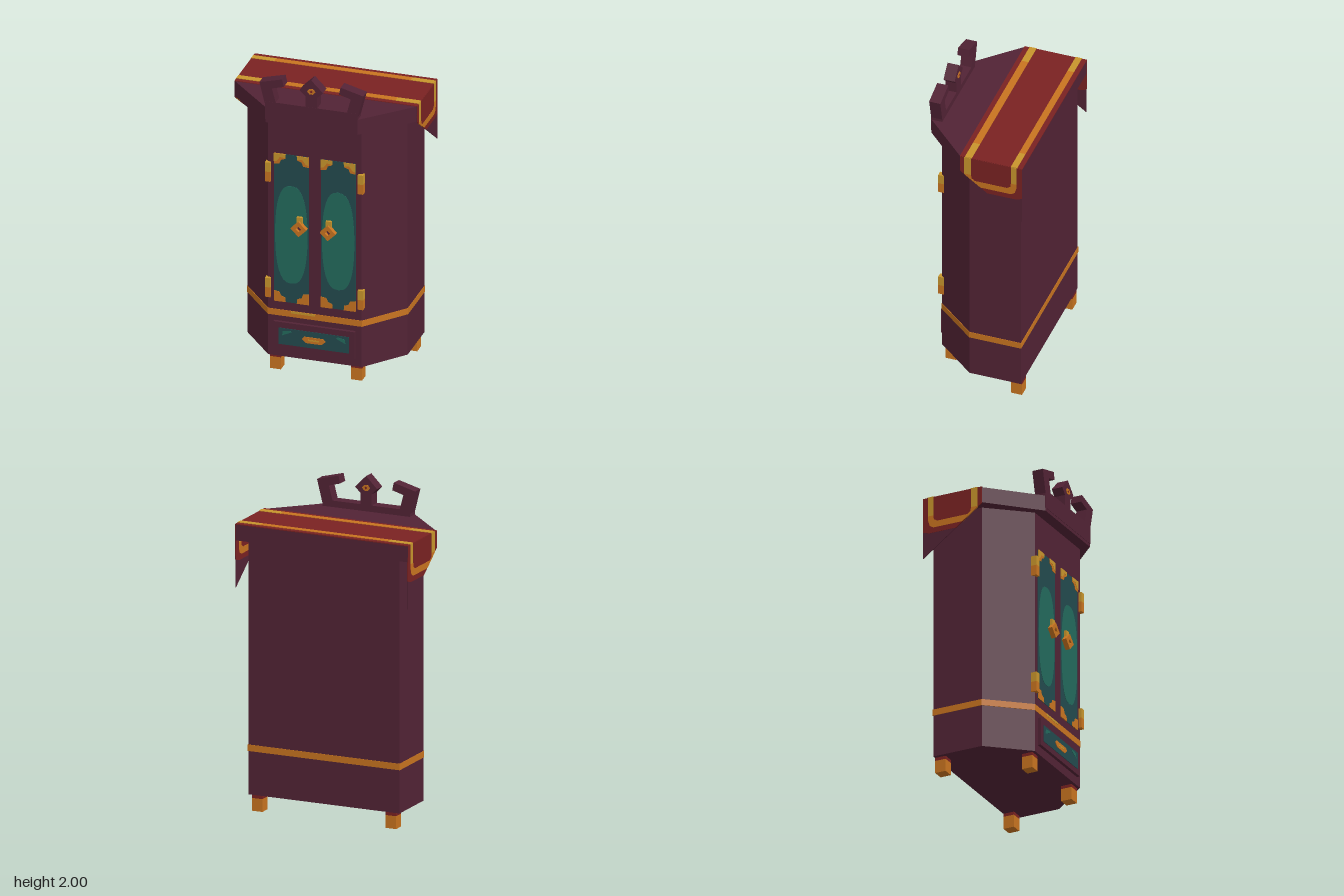
import * as THREE from 'three';

const mat = (name, color, side = THREE.FrontSide) => {
  const m = new THREE.MeshStandardMaterial({ color });
  m.name = name;
  m.side = side;
  return m;
};

export function createModel() {
  const plum = mat('plumWood', 0x522335);
  const red = mat('redCloth', 0x7a2222);
  const orange = mat('orangeTrim', 0xc87420);
  const gold = mat('goldTrim', 0xc8952c);
  const teal = mat('darkTeal', 0x234a4e);
  const green = mat('lightTeal', 0x236a5c);

  const root = new THREE.Group();
  root.name = 'wardrobe';

  const add = (name, geo, material, parent = root) => {
    const m = new THREE.Mesh(geo, material);
    m.name = name;
    parent.add(m);
    return m;
  };
  const group = (name) => {
    const g = new THREE.Group();
    g.name = name;
    root.add(g);
    return g;
  };
  // box given by its ranges
  const box = (name, x0, x1, y0, y1, z0, z1, material, parent) =>
    add(name, new THREE.BoxGeometry(x1 - x0, y1 - y0, z1 - z0)
      .translate((x0 + x1) / 2, (y0 + y1) / 2, (z0 + z1) / 2), material, parent);
  const shapeOf = (pts) => new THREE.Shape(pts.map(([x, y]) => new THREE.Vector2(x, y)));
  const extrude = (shape, depth) => new THREE.ExtrudeGeometry(shape, { depth, bevelEnabled: false });
  // outline in x,y pushed out along z
  const plate = (name, pts, z0, z1, material, parent) =>
    add(name, extrude(shapeOf(pts), z1 - z0).translate(0, 0, z0), material, parent);
  // footprint with chamfered front corners, raised along y
  const prism = (name, w, back, side, fw, front, y0, y1, material) => {
    const pts = [[-w, -back], [-w, -side], [-fw, -front], [fw, -front], [w, -side], [w, -back]];
    const geo = extrude(shapeOf(pts), y1 - y0).rotateX(-Math.PI / 2).translate(0, y0, 0);
    return add(name, geo, material);
  };
  const diamond = (x, y, r) => [[x, y - r], [x + r, y], [x, y + r], [x - r, y]];

  // Carcass, trim band and cornice
  prism('body', 0.505, -0.308, 0.02, 0.295, 0.27, 0.1, 1.69, plum);
  prism('trimBand', 0.508, -0.311, 0.021, 0.297, 0.273, 0.37, 0.41, orange);
  prism('cornice', 0.573, -0.34, 0.055, 0.29, 0.34, 1.68, 1.78, plum);
  box('bandHighlight', -0.15, 0.0, 0.395, 0.409, 0.27, 0.275, gold);

  // Cloth over the top
  box('clothTop', -0.575, 0.575, 1.778, 1.784, -0.341, 0.056, red);
  for (const [z0, z1] of [[-0.02, 0.024], [-0.31, -0.27]]) {
    box('clothStripe', -0.43, 0.43, 1.78, 1.787, z0, z1, orange);
    for (const s of [-1, 1])
      box('clothStripeEnd', Math.min(s * 0.43, s * 0.576), Math.max(s * 0.43, s * 0.576),
        1.78, 1.787, z0, z1, gold);
  }

  // Hanging side flaps, outlined in z,y
  const flapLayers = [
    ['flap', 0.004, plum, [[0.055, 1.78], [-0.34, 1.78], [-0.34, 1.387], [0.055, 1.675]]],
    ['flapCloth', 0.007, red, [[0.055, 1.782], [-0.34, 1.782], [-0.34, 1.56], [-0.3, 1.547],
      [-0.12, 1.547], [0.055, 1.675]]],
    ['flapTrim', 0.009, orange, [[0.028, 1.66], [0.028, 1.655], [-0.075, 1.58], [-0.27, 1.58],
      [-0.295, 1.595], [-0.305, 1.63], [-0.305, 1.66], [-0.27, 1.66], [-0.267, 1.635],
      [-0.245, 1.62], [-0.04, 1.62], [-0.02, 1.635], [-0.015, 1.66]]],
    ['flapTrimFront', 0.009, gold, [[0.028, 1.66], [0.028, 1.783], [-0.015, 1.783], [-0.015, 1.66]]],
    ['flapTrimBack', 0.009, gold, [[-0.305, 1.66], [-0.305, 1.783], [-0.27, 1.783], [-0.27, 1.66]]],
  ];
  for (const s of [-1, 1])
    for (const [name, t, material, pts] of flapLayers)
      add(name, extrude(shapeOf(pts), t).translate(0, 0, -t / 2).rotateY(-Math.PI / 2)
        .translate(s * 0.574, 0, 0), material);

  // Crest with two hooked horns and a diamond finial
  const crest = group('crest');
  box('crestBase', -0.292, 0.292, 1.7, 1.82, 0.27, 0.342, plum, crest);
  const horn = [[0.29, 1.79], [0.328, 1.942], [0.185, 1.98], [0.174, 1.932],
    [0.249, 1.911], [0.222, 1.81]];
  for (const s of [-1, 1])
    plate('horn', horn.map(([x, y]) => [s * x, y]), 0.27, 0.341, plum, crest);
  box('finialStem', -0.037, 0.037, 1.81, 1.9, 0.27, 0.341, plum, crest);
  plate('finial', diamond(0, 1.926, 0.074), 0.27, 0.341, plum, crest);
  plate('finialInset', [[-0.026, 1.926], [-0.012, 1.908], [0.012, 1.908], [0.026, 1.926],
    [0.012, 1.944], [-0.012, 1.944]], 0.267, 0.344, orange, crest);
  plate('finialCore', diamond(0, 1.926, 0.009), 0.266, 0.345, red, crest);

  // Doors with painted panels, corner fittings, hinges and handles
  const cx = 0.148, hw = 0.11, yLow = 0.465, yHigh = 1.45;
  for (const s of [-1, 1]) {
    const door = group(s > 0 ? 'leftDoor' : 'rightDoor');
    box('doorPanel', s * cx - hw, s * cx + hw, yLow, yHigh, 0.268, 0.273, teal, door);

    const oval = [];
    for (let i = 0; i < 32; i++) {
      const a = (i / 32) * Math.PI * 2, c = Math.cos(a), n = Math.sin(a);
      oval.push([s * cx + 0.102 * Math.sign(c) * Math.abs(c) ** 0.75,
        0.918 + 0.325 * Math.sign(n) * Math.abs(n) ** 0.85]);
    }
    plate('doorOval', oval, 0.27, 0.275, green, door);

    for (const sx of [-1, 1])
      for (const top of [false, true]) {
        const x = s * cx + sx * hw, y = top ? yHigh : yLow, d = top ? -1 : 1;
        const at = ([u, v]) => [x - sx * u, y + d * v];
        plate('cornerFitting', [[0, 0], [0.075, 0], [0.072, 0.03], [0.045, 0.04],
          [0.035, 0.065], [0, 0.07]].map(at), 0.27, 0.276, orange, door);
        if (top)
          plate('cornerShine', [[0, 0], [0.075, 0], [0.072, 0.025], [0.04, 0.02],
            [0.018, 0.05], [0, 0.055]].map(at), 0.27, 0.278, gold, door);
      }

    for (const y of [0.49, 1.26]) {
      const x0 = s > 0 ? 0.276 : -0.31;
      box('hinge', x0, x0 + 0.034, y, y + 0.065, 0.253, 0.29, orange, door);
      box('hingeTop', x0, x0 + 0.034, y + 0.065, y + 0.127, 0.253, 0.29, gold, door);
    }

    const hx = s * 0.092;
    box('handleMount', hx - 0.017, hx + 0.017, 1.0, 1.05, 0.27, 0.292, gold, door);
    const ring = shapeOf(diamond(hx, 0.977, 0.05));
    ring.holes.push(new THREE.Path(diamond(hx, 0.977, 0.018).map(([x, y]) => new THREE.Vector2(x, y))));
    add('handleRing', extrude(ring, 0.03).translate(0, 0, 0.278), orange, door);
    plate('handleCentre', diamond(hx, 0.977, 0.02), 0.272, 0.285, plum, door);
  }

  // Drawer
  const drawer = group('drawer');
  box('drawerFront', -0.256, 0.256, 0.155, 0.335, 0.26, 0.29, plum, drawer);
  box('drawerPanel', -0.222, 0.222, 0.19, 0.298, 0.288, 0.293, teal, drawer);
  for (const s of [-1, 1])
    plate('drawerPatch', [[0.2, 0.25], [0.14, 0.278], [0.15, 0.287], [0.195, 0.28]]
      .map(([x, y]) => [s * x, y]), 0.29, 0.295, green, drawer);
  plate('drawerPull', [[-0.075, 0.245], [-0.05, 0.222], [0.05, 0.222], [0.075, 0.245],
    [0.06, 0.262], [-0.06, 0.262]], 0.29, 0.297, orange, drawer);
  box('drawerPullShine', -0.035, 0.035, 0.238, 0.247, 0.29, 0.298, gold, drawer);

  // Feet with a dark collar
  for (const s of [-1, 1])
    for (const [x, z] of [[0.256, 0.216], [0.447, -0.272]]) {
      const r = 0.035, fx = s * x;
      box('foot', fx - r, fx + r, 0, 0.08, z - r, z + r, orange);
      box('footCollar', fx - r, fx + r, 0.08, 0.105, z - r, z + r, red);
    }

  return root;
}
